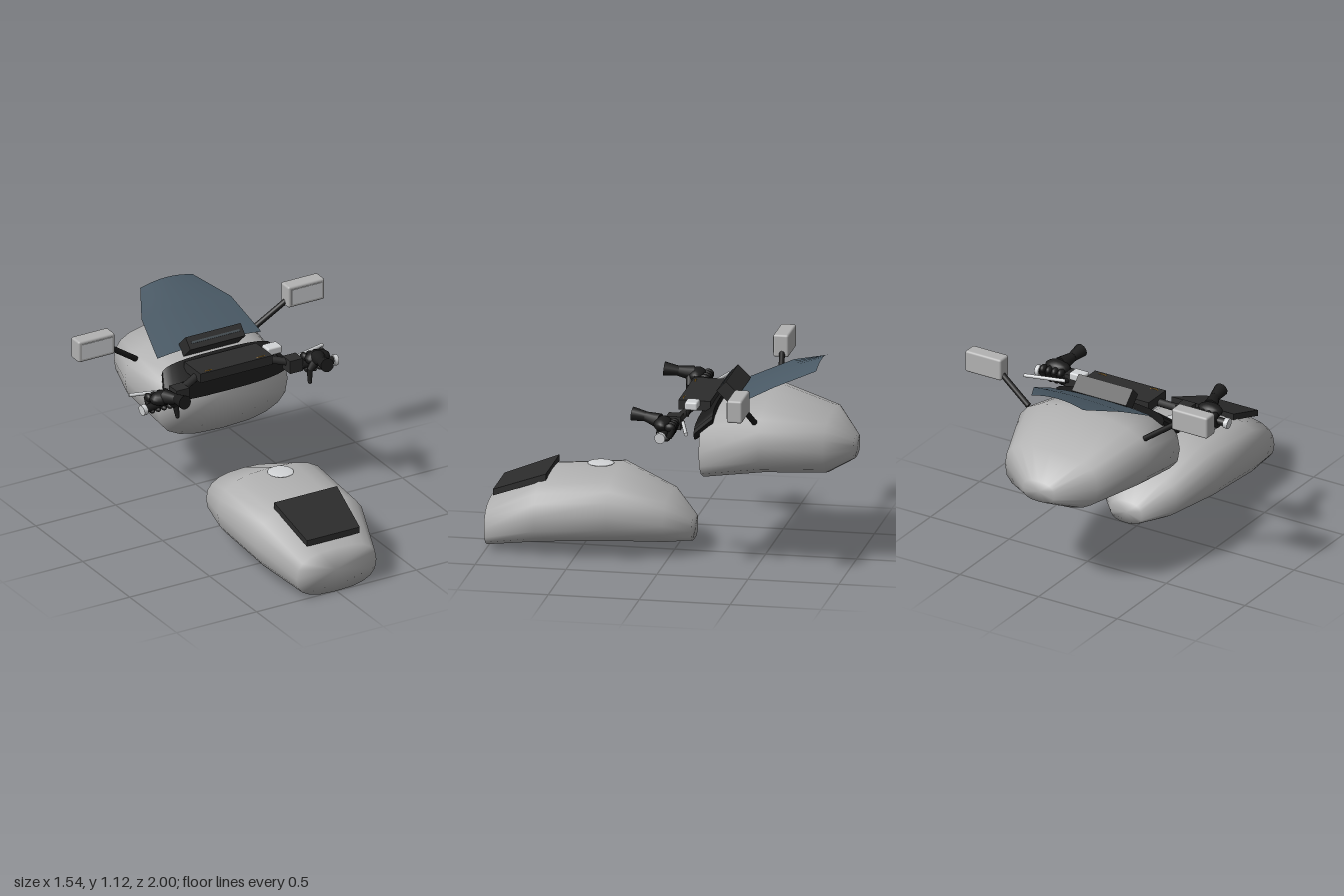
import * as THREE from 'three';
import { toCreasedNormals } from 'three/addons/utils/BufferGeometryUtils.js';
import { RoundedBoxGeometry } from 'three/addons/geometries/RoundedBoxGeometry.js';

const V = (x, y, z) => new THREE.Vector3(x, y, z);
const mat = (name, color) => Object.assign(new THREE.MeshStandardMaterial({ color }), { name });

// Closed body through superellipse sections [z, halfWidth, bottom, top], z rising
function loft(sections, n = 2.6, seg = 20) {
  const pos = [], idx = [];
  const pw = (v) => Math.sign(v) * Math.pow(Math.abs(v), 2 / n);
  for (const [z, w, b, t] of sections) {
    for (let j = 0; j < seg; j++) {
      const a = (j / seg) * Math.PI * 2;
      pos.push(w * pw(Math.cos(a)), (b + t) / 2 + ((t - b) / 2) * pw(Math.sin(a)), z);
    }
  }
  const last = sections.length - 1, c0 = sections.length * seg;
  for (const s of [sections[0], sections[last]]) pos.push(0, (s[2] + s[3]) / 2, s[0]);
  for (let j = 0; j < seg; j++) {
    const k = (j + 1) % seg;
    for (let i = 0; i < last; i++) {
      const a = i * seg + j, b = i * seg + k;
      idx.push(a, b, a + seg, b, b + seg, a + seg);
    }
    idx.push(c0, k, j, c0 + 1, last * seg + j, last * seg + k);
  }
  const g = new THREE.BufferGeometry();
  g.setAttribute('position', new THREE.Float32BufferAttribute(pos, 3));
  g.setIndex(idx);
  g.computeVertexNormals();
  return g;
}

// Arched sheet through rows [z, halfWidth, centreY, edgeY]
function sheet(rows, seg = 8) {
  const g = new THREE.PlaneGeometry(1, 1, seg, rows.length - 1);
  const p = g.attributes.position;
  rows.forEach(([z, w, c, e], i) => {
    for (let j = 0; j <= seg; j++) {
      const u = (j / seg) * 2 - 1;
      p.setXYZ(i * (seg + 1) + j, u * w, c + (e - c) * u * u, z);
    }
  });
  g.computeVertexNormals();
  return g;
}

// Round rod between two points
function rod(a, b, r1, r2 = r1, seg = 12) {
  const d = b.clone().sub(a);
  const g = new THREE.CylinderGeometry(r2, r1, d.length(), seg);
  g.applyQuaternion(new THREE.Quaternion().setFromUnitVectors(V(0, 1, 0), d.normalize()));
  const m = a.clone().add(b).multiplyScalar(0.5);
  return g.translate(m.x, m.y, m.z);
}

const ball = (p, rx, ry, rz) => new THREE.SphereGeometry(1, 14, 10).scale(rx, ry, rz).translate(p.x, p.y, p.z);

export function createModel() {
  const root = new THREE.Group();
  root.name = 'motorcycleCockpit';
  const paint = mat('bodyGrey', 0xb2b2b2);
  const silver = mat('silver', 0xd2d4d6);
  const black = mat('black', 0x1b1b1b);
  const dark = mat('darkPlastic', 0x2c2c2c);
  const gold = mat('gaugeGold', 0xb8862b);
  const tint = mat('windscreenTint', 0x4a5a66);
  tint.side = THREE.DoubleSide;
  const slate = mat('displaySlate', 0x454d52);

  const add = (name, geo, material, parent = root) => {
    const m = new THREE.Mesh(geo, material);
    m.name = name;
    parent.add(m);
    return m;
  };

  // Fuel tank
  add('tank', loft([
    [-0.11, 0.1, 0.07, 0.2], [0.02, 0.24, 0.07, 0.33], [0.31, 0.34, 0.07, 0.455],
    [0.71, 0.34, 0.045, 0.42], [1, 0.25, 0.005, 0.265],
  ]), paint);
  add('fuelCap', new THREE.SphereGeometry(0.073, 24, 10).scale(1, 0.12, 1).translate(0, 0.468, 0.405), silver);

  // Seat pad lying on the tank's rear slope
  const pad = new THREE.BoxGeometry(2, 0.035, 0.3);
  const pp = pad.attributes.position;
  for (let i = 0; i < pp.count; i++) {
    const rear = pp.getZ(i) > 0;
    pp.setXYZ(i, pp.getX(i) * (rear ? 0.165 : 0.197), pp.getY(i) + (rear ? 0.317 : 0.428), rear ? 0.967 : 0.67);
  }
  pad.computeVertexNormals();
  add('seatPad', pad, dark);

  // Front fairing and its tinted screen
  add('fairing', loft([
    [-1, 0.1, 0.58, 0.7], [-0.87, 0.295, 0.515, 0.835],
    [-0.54, 0.42, 0.515, 0.93], [-0.21, 0.405, 0.47, 0.865],
  ]), paint);
  add('windscreen', sheet([
    [-0.355, 0.325, 0.925, 0.905], [-0.6, 0.28, 1.04, 1.025], [-0.81, 0.165, 1.12, 1.095],
  ]), tint);

  // Dashboard, instrument box, gauges and display
  add('dashboard', toCreasedNormals(loft([
    [-0.275, 0.345, 0.785, 0.91], [-0.18, 0.39, 0.705, 0.835],
  ], 2.8, 28), 0.6), black);
  add('instrumentBox', new THREE.BoxGeometry(0.45, 0.054, 0.175).translate(0, 0.884, -0.152), dark);
  for (const s of [-1, 1]) {
    const ring = add('gaugeRing', new THREE.TorusGeometry(0.05, 0.004, 6, 32), gold);
    ring.position.set(s * 0.165, 0.88, -0.12);
    ring.rotation.x = Math.PI / 2 - 0.69;
  }
  const display = new THREE.Group();
  display.name = 'display';
  display.position.set(0, 0.95, -0.325);
  display.rotation.x = 0.8;
  root.add(display);
  add('displayHousing', new THREE.BoxGeometry(0.345, 0.1, 0.075), dark, display);
  add('displayStrip', new THREE.BoxGeometry(0.3, 0.004, 0.012).translate(0, 0.051, 0), slate, display);
  add('reservoir', new RoundedBoxGeometry(0.09, 0.045, 0.07, 2, 0.01).translate(0.272, 0.903, -0.15), silver);
  add('reservoirStem', rod(V(0.28, 0.84, -0.12), V(0.28, 0.89, -0.14), 0.012), black);

  // Handlebar, glove and mirror, mirrored left and right
  for (const s of [1, -1]) {
    const P = (x, y, z) => V(s * x, y, z);
    const side = new THREE.Group();
    side.name = s > 0 ? 'leftControls' : 'rightControls';
    root.add(side);
    const part = (name, geo, m) => add(name, geo, m, side);

    part('handlebar', rod(P(0.2, 0.87, -0.135), P(0.36, 0.83, -0.075), 0.022), dark);
    part('switchBlock', new THREE.BoxGeometry(0.08, 0.075, 0.08).translate(s * 0.355, 0.828, -0.07), dark);
    part('grip', rod(P(0.38, 0.815, -0.06), P(0.59, 0.802, -0.038), 0.022), black);
    part('barEnd', rod(P(0.585, 0.802, -0.038), P(0.61, 0.8, -0.036), 0.03), silver);
    part('lever', rod(P(0.38, 0.83, -0.12), P(0.605, 0.83, -0.18), 0.01), silver);
    part('leverMount', rod(P(0.36, 0.825, -0.08), P(0.385, 0.83, -0.122), 0.014), black);

    const glove = new THREE.Group();
    glove.name = 'glove';
    side.add(glove);
    add('palm', ball(P(0.485, 0.85, -0.03), 0.075, 0.04, 0.05), black, glove);
    add('wrist', rod(P(0.475, 0.86, -0.01), P(0.452, 0.875, 0.07), 0.042, 0.027), black, glove);
    add('cuff', rod(P(0.452, 0.875, 0.065), P(0.445, 0.885, 0.145), 0.027, 0.039), black, glove);
    for (let i = 0; i < 4; i++) {
      const x = 0.432 + i * 0.037;
      add('knuckle', ball(P(x, 0.845, -0.08), 0.019, 0.024, 0.03), black, glove);
      add('finger', rod(P(x, 0.842, -0.095), P(x, 0.79, -0.075), 0.018, 0.016, 8), black, glove);
      add('fingertip', ball(P(x, 0.782, -0.05), 0.016, 0.016, 0.032), black, glove);
    }
    add('thumbBase', rod(P(0.455, 0.845, 0), P(0.42, 0.8, 0.0), 0.028, 0.018, 10), black, glove);
    add('thumb', rod(P(0.42, 0.805, 0.0), P(0.414, 0.738, 0.012), 0.018, 0.012, 8), black, glove);
    add('thumbTip', ball(P(0.414, 0.738, 0.012), 0.012, 0.012, 0.012), black, glove);

    part('mirrorStalk', rod(P(0.37, 0.85, -0.51), P(0.57, 0.99, -0.48), 0.016), black);
    part('mirrorHousing', new RoundedBoxGeometry(0.228, 0.125, 0.085, 2, 0.012).translate(s * 0.656, 1.017, -0.477), paint);
    part('mirrorGlass', new THREE.BoxGeometry(0.19, 0.088, 0.006).translate(s * 0.656, 1.017, -0.434), silver);
  }
  return root;
}
